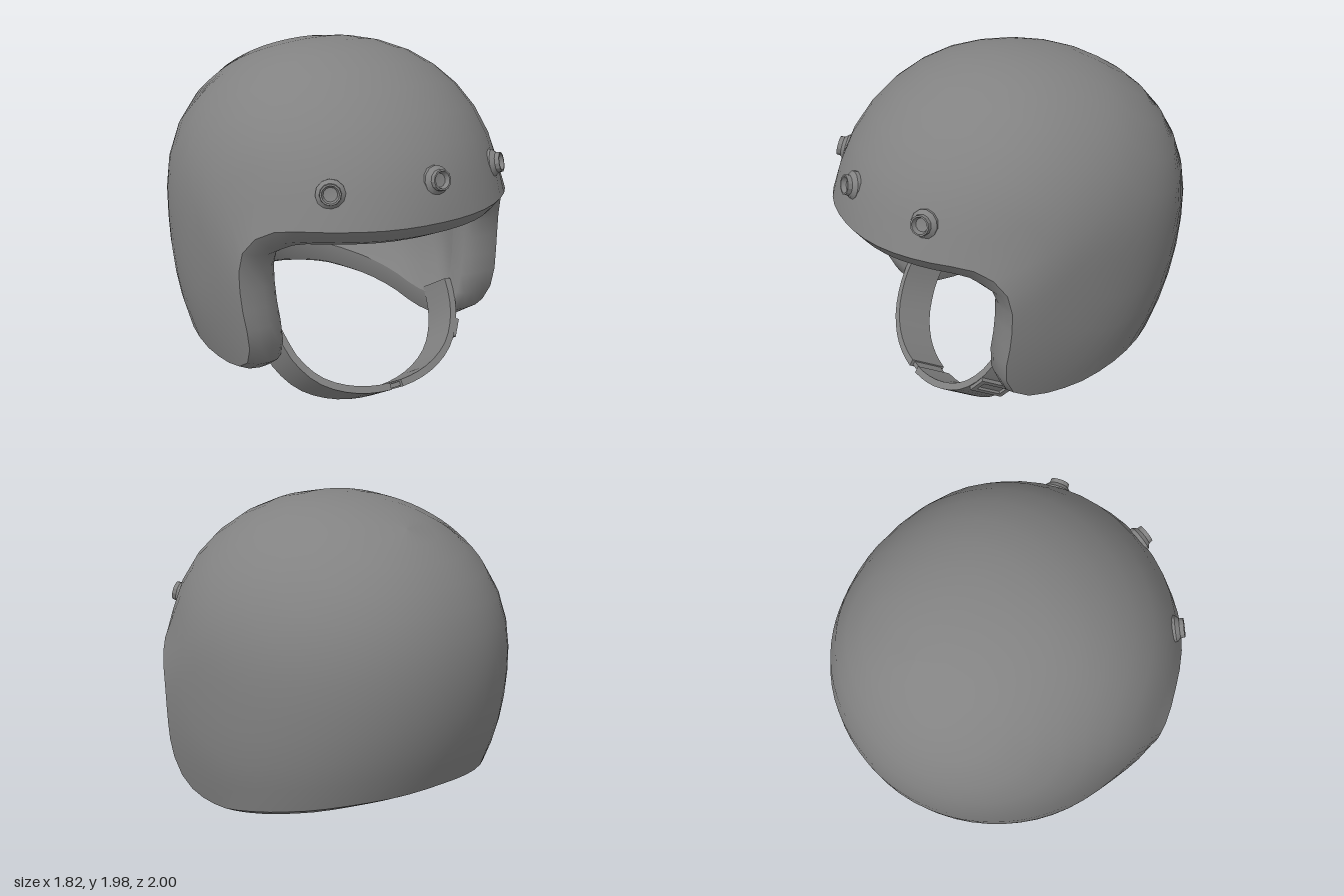
import * as THREE from 'three';
import { toCreasedNormals } from 'three/addons/utils/BufferGeometryUtils.js';

const V = (x, y, z) => new THREE.Vector3(x, y, z);
const mat = new THREE.MeshStandardMaterial({ color: 0x828282, side: THREE.DoubleSide });
const CENTRE = V(0, 1.1, 0);
const POLE = V(0, 0.8, -0.6).normalize();
const mix = THREE.MathUtils.lerp, smooth = THREE.MathUtils.smoothstep;

// Helmet body: oval horizontal sections that shrink toward the crown and the neck
function inside(p) {
  const d = (p.y - 1.1) / 0.88;
  if (d >= 1) return false;
  const dome = (e) => Math.pow(1 - Math.pow(d, e), 1 / e);
  const taper = (k, e) => 1 - k * Math.pow(1.1 - p.y, e);
  const up = d > 0;
  const w = 0.912 * (up ? dome(2.15) : taper(0.21, 3));
  const front = 0.95 * (up ? dome(1.9) : taper(0.1, 2));
  const back = 1.05 * (up ? dome(2.15) : taper(0.375, 2));
  const dz = p.z - 0.05;
  const e = dz > 0 ? mix(2.8, 2, smooth(p.y, 0.95, 1.25)) : 2.1;
  return Math.pow(Math.abs(p.x) / w, e) + Math.pow(Math.abs(dz) / (dz > 0 ? front : back), e) < 1;
}

// Distance from the centre to the body surface along a direction
function radius(dir) {
  let lo = 0, hi = 2;
  for (let i = 0; i < 30; i++) {
    const m = (lo + hi) / 2;
    if (inside(CENTRE.clone().addScaledVector(dir, m))) lo = m; else hi = m;
  }
  return lo;
}
const onBody = (dir, k = 1) => CENTRE.clone().addScaledVector(dir, radius(dir) * k);
const dirTo = (p) => p.clone().sub(CENTRE).normalize();

function slerp(a, b, t) {
  const w = a.angleTo(b), s = Math.sin(w);
  return a.clone().multiplyScalar(Math.sin((1 - t) * w) / s).addScaledVector(b, Math.sin(t * w) / s).normalize();
}

// Skin a list of closed rings
function loft(rings) {
  const n = rings[0].length, idx = [];
  for (let j = 0; j < rings.length - 1; j++)
    for (let i = 0; i < n; i++) {
      const a = j * n + i, b = j * n + (i + 1) % n;
      idx.push(a, a + n, b, b, a + n, b + n);
    }
  const g = new THREE.BufferGeometry().setFromPoints(rings.flat());
  g.setIndex(idx);
  g.computeVertexNormals();
  return g;
}

// Rectangular band swept along part of a curve, with closed ends
const WIDE = V(0, 0.5, 0.86).normalize();
function band(curve, u0, u1, halfW, halfT, steps) {
  const rings = [];
  for (let j = 0; j <= steps; j++) {
    const u = mix(u0, u1, j / steps), c = curve.getPointAt(u);
    const n = WIDE.clone().cross(curve.getTangentAt(u)).normalize();
    const ring = [[1, 1], [-1, 1], [-1, -1], [1, -1]].map(([a, b]) =>
      c.clone().addScaledVector(WIDE, a * halfW).addScaledVector(n, b * halfT));
    if (j === 0) rings.push(ring.map(() => c.clone()));
    rings.push(ring);
    if (j === steps) rings.push(ring.map(() => c.clone()));
  }
  return toCreasedNormals(loft(rings), 0.6);
}

export function createModel() {
  const group = new THREE.Group();
  const add = (name, geo, parent = group) => {
    const m = new THREE.Mesh(geo, mat);
    m.name = name;
    parent.add(m);
    return m;
  };

  // Edge of the shell: brow, cheek, ear, nape, then mirrored
  const half = [
    [0, 1.167, 1], [0.3, 1.167, 0.95], [0.55, 1.167, 0.8], [0.72, 1.16, 0.65], [0.79, 1.135, 0.57],
    [0.85, 1.06, 0.49], [0.875, 0.95, 0.455], [0.87, 0.75, 0.455], [0.85, 0.55, 0.475], [0.82, 0.42, 0.44],
    [0.81, 0.345, 0.35], [0.81, 0.312, 0.2], [0.805, 0.32, 0.05], [0.79, 0.365, -0.2],
    [0.69, 0.415, -0.47], [0.44, 0.47, -0.74], [0, 0.5, -0.87],
  ].map((p) => V(...p));
  const other = half.slice(1, -1).reverse().map((p) => V(-p.x, p.y, p.z));
  const edge = new THREE.CatmullRomCurve3([...half, ...other], true);
  const COUNT = 64;
  const rim = edge.getSpacedPoints(COUNT).slice(0, COUNT).map((p) => onBody(dirTo(p)));

  // Outer shell
  const shellRings = [];
  for (let j = 0; j <= 11; j++) shellRings.push(rim.map((p) => onBody(slerp(POLE, dirTo(p), j / 11))));
  add('shell', loft(shellRings));

  // Rounded padding roll around the edge: [inset, overhang]
  const roll = [[0, 0], [0.06, 0.07], [0.13, 0.1], [0.19, 0.1], [0.23, 0.05], [0.24, -0.1]];
  const rollRings = roll.map(([inset, over]) => rim.map((p, i) => {
    const tangent = rim[(i + 1) % COUNT].clone().sub(rim[(i + COUNT - 1) % COUNT]).normalize();
    const inward = V(-p.x, 0, -p.z * Math.abs(p.z)).normalize();
    const out = inward.clone().cross(tangent).normalize();
    const amount = over < 0 ? 1 : mix(0.42, 1.05, smooth(p.y, 0.95, 1.15));
    return p.clone().addScaledVector(inward, inset).addScaledVector(out, over * amount);
  }));
  add('edgeRoll', loft(rollRings));

  // Inner lining
  const lip = rollRings[rollRings.length - 1];
  const liningRings = [];
  for (let j = 0; j <= 12; j++)
    liningRings.push(lip.map((p) => {
      const d = dirTo(p), k = p.distanceTo(CENTRE) / radius(d);
      return onBody(slerp(d, POLE, j / 12), mix(k, 0.8, Math.min(1, j / 5)));
    }));
  add('lining', loft(liningRings));

  // Brow studs with a recessed centre
  const profile = [[0.077, -0.04], [0.077, 0], [0.056, 0.022], [0.054, 0.046], [0.045, 0.046], [0.036, 0.02], [0, 0.015]];
  const studGeo = toCreasedNormals(
    new THREE.LatheGeometry(profile.map(([r, y]) => new THREE.Vector2(r, y)), 12), 0.5);
  for (const [x, y, z] of [[0, 1.376, 0.94], [0.54, 1.352, 0.78], [-0.54, 1.352, 0.78]]) {
    const stud = add('browStud', studGeo);
    stud.position.copy(onBody(dirTo(V(x, y, z))));
    stud.quaternion.setFromUnitVectors(V(0, 1, 0), V(x, 0.22, z).normalize());
  }

  // Chin strap: thin band with two thicker pads that leave a gap in the middle
  const strap = new THREE.Group();
  strap.name = 'chinStrap';
  group.add(strap);
  const side = [[0.6, 0.48, 0.24], [0.585, 0.4, 0.3], [0.545, 0.29, 0.37], [0.44, 0.175, 0.45], [0.25, 0.097, 0.515]];
  const path = new THREE.CatmullRomCurve3([
    ...side.map((p) => V(...p)), V(0, 0.07, 0.54), ...side.map(([x, y, z]) => V(-x, y, z)).reverse(),
  ]);
  add('strapBand', band(path, 0.02, 0.98, 0.095, 0.012, 24), strap);
  add('strapPadLeft', band(path, 0, 0.478, 0.115, 0.02, 12), strap);
  add('strapPadRight', band(path, 0.522, 1, 0.115, 0.02, 12), strap);

  // Buckle on the left side of the strap
  const rect = (S, w, h) => new S([[-w, -h], [w, -h], [w, h], [-w, h]].map(([x, y]) => new THREE.Vector2(x, y)));
  const frame = rect(THREE.Shape, 0.11, 0.055);
  frame.holes.push(rect(THREE.Path, 0.08, 0.03));
  const buckle = new THREE.Group();
  buckle.name = 'buckle';
  const AT = 0.165;
  const n = WIDE.clone().cross(path.getTangentAt(AT)).normalize();
  buckle.quaternion.setFromRotationMatrix(new THREE.Matrix4().makeBasis(WIDE, n.clone().cross(WIDE), n));
  buckle.position.copy(path.getPointAt(AT)).addScaledVector(n, 0.012);
  add('buckleFrame', new THREE.ExtrudeGeometry(frame, { depth: 0.026, bevelEnabled: false }), buckle);
  add('bucklePlate', new THREE.BoxGeometry(0.17, 0.07, 0.02), buckle);
  strap.add(buckle);

  return group;
}
